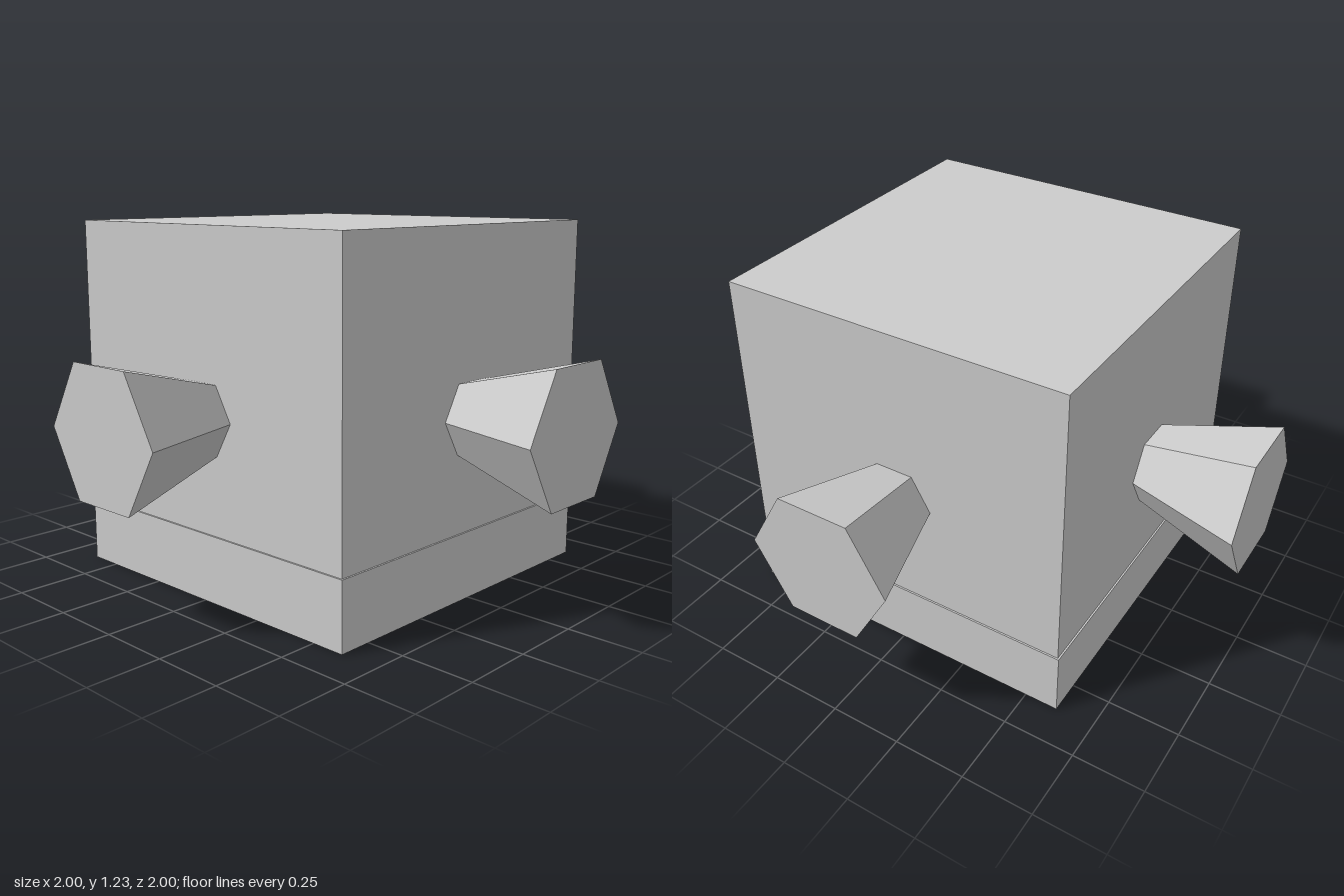
import * as THREE from 'three';

export function createModel() {
  const model = new THREE.Group();
  model.name = 'cubeWithNozzles';
  const grey = new THREE.MeshStandardMaterial({ color: 0xcccccc, flatShading: true });
  grey.name = 'grey';

  // Upright box with its bottom at height y
  const addBox = (name, width, height, y) => {
    const mesh = new THREE.Mesh(new THREE.BoxGeometry(width, height, width), grey);
    mesh.name = name;
    mesh.position.y = y + height / 2;
    model.add(mesh);
  };

  // Main cube, and the slightly wider band around its foot
  addBox('body', 1.222, 1.228, 0.002);
  addBox('baseBand', 1.234, 0.23, 0);

  // Flared six-sided nozzle, pointing to +z, with corners left and right
  const inner = 0.6, outer = 1;
  const nozzle = new THREE.CylinderGeometry(0.25, 0.131, outer - inner, 6, 1, false, Math.PI / 6);
  nozzle.rotateX(Math.PI / 2);
  nozzle.translate(0, 0.615, (inner + outer) / 2);

  // One nozzle on each side
  ['front', 'left', 'back', 'right'].forEach((side, i) => {
    const mesh = new THREE.Mesh(nozzle, grey);
    mesh.name = side + 'Nozzle';
    mesh.rotation.y = i * Math.PI / 2;
    model.add(mesh);
  });

  return model;
}
